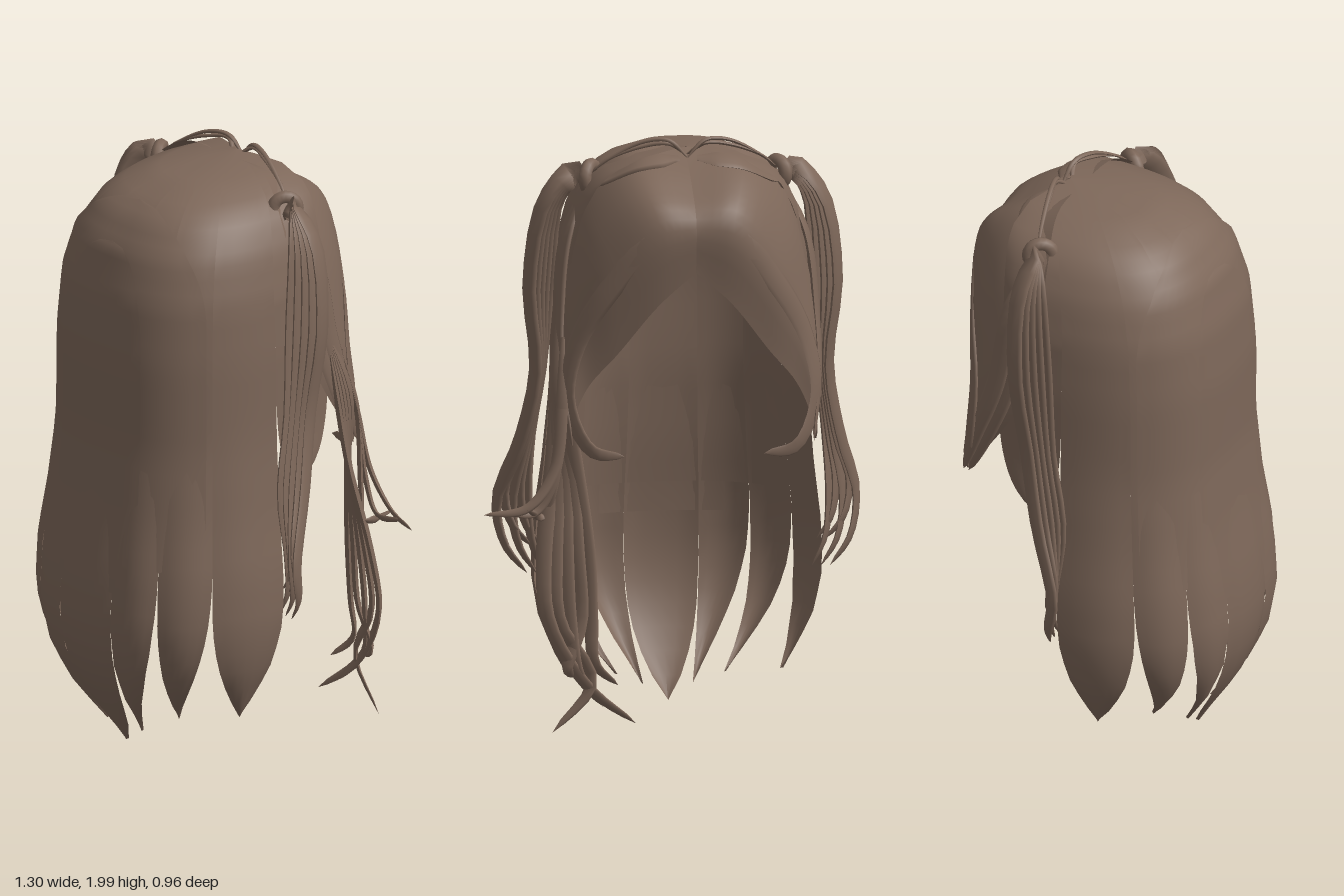
import * as THREE from 'three';

const V = (p) => new THREE.Vector3(...p);
const lerp = THREE.MathUtils.lerp;
const clamp = THREE.MathUtils.clamp;

// Smooth open surface from a rule f(u, v) -> [x, y, z]
function sheet(f, nu, nv) {
  const pos = [], idx = [];
  for (let j = 0; j <= nv; j++)
    for (let i = 0; i <= nu; i++) pos.push(...f(i / nu, j / nv));
  const w = nu + 1;
  for (let j = 0; j < nv; j++)
    for (let i = 0; i < nu; i++) {
      const a = j * w + i;
      idx.push(a, a + w, a + 1, a + 1, a + w, a + w + 1);
    }
  const g = new THREE.BufferGeometry();
  g.setAttribute('position', new THREE.Float32BufferAttribute(pos, 3));
  g.setIndex(idx);
  g.computeVertexNormals();
  return g;
}

// Profile of the long hair: height, half width, rear z, centre z
const PROFILE = [
  [1.96, 0, -0.2, -0.2], [1.945, 0.15, 0.06, -0.19], [1.895, 0.265, 0.2, -0.17],
  [1.85, 0.32, 0.265, -0.15], [1.75, 0.375, 0.335, -0.12], [1.6, 0.41, 0.38, -0.1],
  [1.4, 0.425, 0.4, -0.1], [1.1, 0.43, 0.405, -0.1], [0.85, 0.45, 0.43, -0.1],
  [0.65, 0.475, 0.458, -0.1], [0.48, 0.48, 0.47, -0.1], [0.33, 0.455, 0.45, -0.1],
  [0.2, 0.4, 0.395, -0.1], [0.1, 0.34, 0.33, -0.1], [0.01, 0.28, 0.27, -0.1],
];

function profileAt(y) {
  let i = 0;
  while (i < PROFILE.length - 2 && PROFILE[i + 1][0] > y) i++;
  const a = PROFILE[i], b = PROFILE[i + 1];
  const k = clamp((a[0] - y) / (a[0] - b[0]), 0, 1);
  return [1, 2, 3].map((n) => lerp(a[n], b[n], k));
}

// Point on the shell at an angle from the rear and a height
function shellPoint(deg, y, out = 0) {
  const [w, zb, cz] = profileAt(y);
  const t = THREE.MathUtils.degToRad(deg), s = Math.sin(t), c = Math.cos(t);
  const pw = (v) => Math.sign(v) * Math.abs(v) ** 0.77;
  const depth = zb - cz;
  const d = c >= 0 ? depth : Math.min(0.3, depth * 0.6);
  return [(w + out) * pw(s), y, cz + (d + out) * pw(c)];
}

// One panel of the shell that narrows to a tip below its slit and curls in
function panel(a0, a1, slit, tip, tipU, curl) {
  return sheet((u, v) => {
    const y = v < 0.35
      ? lerp(1.96, 1.6, (v / 0.35) ** 1.6)
      : lerp(1.6, tip, (v - 0.35) / 0.65);
    const k = clamp((slit - y) / (slit - tip), 0, 1);
    const w = 1 - k ** 2.6;
    const uu = (1 - w) * tipU + w * u;
    const bulge = 0.012 * Math.sin(Math.PI * u) * clamp((1.2 - y) * 2, 0, 1);
    return shellPoint(lerp(a0, a1, uu), y, bulge - curl * k ** 4);
  }, 6, 34);
}

// Raised layer with a rounded top, sinking into the shell lower down
function layer(half, top, bottom, raise) {
  return sheet((u, v) => {
    const y = lerp(top, bottom, v ** 1.5);
    const k = clamp((y - top + 0.35) / 0.35, 0, 1);
    const a = (u * 2 - 1) * half * Math.sqrt(1 - k * k);
    return shellPoint(a, y, lerp(raise, 0.002, v));
  }, 16, 26);
}

// Flattened tapered lock along a path; "face" is the way its flat side looks
function lock(points, width, thick, face = null) {
  const curve = new THREE.CatmullRomCurve3(points.map(V));
  const frame = (t) => {
    const p = curve.getPoint(t), tan = curve.getTangent(t);
    const f = face ? V(face) : new THREE.Vector3(p.x, 0, p.z);
    const side = new THREE.Vector3().crossVectors(tan, f).normalize();
    return [p, side, new THREE.Vector3().crossVectors(side, tan).normalize()];
  };
  return sheet((u, t) => {
    const [p, side, nor] = frame(t);
    const taper = Math.min(1, 0.35 + t * 4) * Math.sqrt(Math.max(0, 1 - t ** 2.5));
    const a = u * Math.PI * 2;
    p.addScaledVector(side, Math.cos(a) * width * taper);
    p.addScaledVector(nor, Math.sin(a) * thick * taper);
    return [p.x, p.y, p.z];
  }, 8, 26);
}

export function createModel() {
  const model = new THREE.Group();
  model.name = 'longHair';
  const brown = new THREE.MeshStandardMaterial({ color: 0x7d6759, side: THREE.DoubleSide });
  brown.name = 'brown hair';
  const add = (name, geometry) => {
    const m = new THREE.Mesh(geometry, brown);
    m.name = name;
    m.position.x = -0.045;
    model.add(m);
  };

  // Long rear hair: a middle strand, three wide strands and a short one per side
  add('rearStrand', panel(-10, 10, 0.34, 0.005, 0.5, 0));
  const strands = [
    [10, 31, 0.76, 0.06, 0.05, 0.02], [31, 55, 0.76, 0.11, 0.2, 0.08],
    [55, 83, 0.64, 0.14, 0.55, 0], [83, 113, 1.3, 0.94, 0.15, 0],
  ];
  for (const s of [1, -1])
    for (const [a, b, slit, tip, u, curl] of strands)
      add('sideStrand', panel(a * s, b * s, slit, tip, u, curl));
  add('outerLayer', layer(52, 1.89, 0.7, 0.014));
  add('centreLayer', layer(20, 1.775, 0.6, 0.026));

  // Parted front hair, lofted from the crown to the turned-in edge
  const edges = [
    [[0, 1.95, -0.16], [0.2, 1.945, -0.14], [0.34, 1.82, -0.1], [0.415, 1.55, -0.1], [0.43, 1.3, -0.17], [0.41, 1.05, -0.33]],
    [[0, 1.86, -0.34], [0.17, 1.86, -0.35], [0.32, 1.71, -0.3], [0.41, 1.48, -0.24], [0.43, 1.25, -0.27], [0.41, 1.05, -0.34]],
    [[0, 1.76, -0.465], [0.13, 1.75, -0.472], [0.27, 1.58, -0.42], [0.37, 1.39, -0.355], [0.41, 1.21, -0.345], [0.4, 1.05, -0.355]],
    [[0, 1.59, -0.455], [0.12, 1.48, -0.44], [0.25, 1.31, -0.39], [0.34, 1.2, -0.355], [0.38, 1.12, -0.35], [0.4, 1.05, -0.35]],
  ].map((e) => new THREE.CatmullRomCurve3(e.map(V)));

  for (const s of [1, -1]) {
    const flip = (pts) => pts.map(([x, y, z]) => [x * s, y, z]);
    add('frontHair', sheet((u, v) => {
      const section = new THREE.CatmullRomCurve3(edges.map((e) => e.getPoint(v)));
      const p = section.getPoint(u);
      return [p.x * s, p.y, p.z];
    }, 14, 26));

    // Edge lock around the face, a lock swept to the tie and temple locks
    add('frontEdge', lock(flip([[0, 1.74, -0.462], [0.13, 1.71, -0.465], [0.28, 1.53, -0.41], [0.38, 1.34, -0.35],
      [0.41, 1.15, -0.35], [0.34, 0.99, -0.4], [0.23, 0.97, -0.415]]), 0.04, 0.01));
    add('sweptLock', lock(flip([[0.03, 1.93, -0.24], [0.16, 1.915, -0.25], [0.27, 1.85, -0.19], [0.32, 1.83, -0.13]]), 0.05, 0.012, [0, 1, -0.3]));
    for (let i = 0; i < 2; i++)
      add('templeLock', lock(flip([[0.33, 1.82, -0.14], [0.4, 1.65, -0.17 - i * 0.03], [0.425, 1.4, -0.2 - i * 0.04],
        [0.425, 1.2, -0.27 - i * 0.04], [0.4, 1.0, -0.36 - i * 0.02]]), 0.042, 0.012, [s, 0, -0.25]));

    // Tied tail: a knot and a bundle of ribbons
    const knot = new THREE.TorusGeometry(0.04, 0.022, 8, 20);
    knot.rotateY(s * 1.0);
    knot.translate(s * 0.31, 1.855, -0.14);
    add('hairTie', knot);
    for (let i = 0; i < 5; i++) {
      const k = i - 2, odd = i % 2;
      add('tailRibbon', lock(flip([
        [0.29, 1.81, -0.14], [0.36, 1.88 - i * 0.006, -0.13], [0.46 - i * 0.012, 1.78, -0.115 + k * 0.012],
        [0.51 - i * 0.018, 1.5, -0.09 + k * 0.018], [0.485 - i * 0.006, 1.2, -0.06 + k * 0.018],
        [0.53 - i * 0.01, 0.95, 0.0 + k * 0.016], [0.595 - i * 0.024, 0.73 + odd * 0.05, 0.06 - i * 0.012],
        [0.57 - i * 0.022, 0.59 + odd * 0.07, 0.03 - i * 0.008], [0.5 - i * 0.015, 0.5 + odd * 0.09, 0.0],
      ]), 0.042, 0.014, [s * 0.9, 0, -0.4]));
    }

    // Fine stray hairs over the crown
    for (let i = 0; i < 2; i++)
      add('strayHair', lock(flip([[0.0, 1.93, -0.23 + i * 0.04], [0.06, 1.985 - i * 0.01, -0.22], [0.14, 1.98 - i * 0.015, -0.2],
        [0.25, 1.92, -0.17], [0.31, 1.87, -0.15]]), 0.009, 0.007, [0, 1, 0]));
  }

  // Long face-framing lock on the left side: bend x, tip x, tip y
  const tips = [[0.35, 0.19, 0.07], [0.34, 0.47, 0.05], [0.38, 0.3, 0.13], [0.42, 0.38, 0.24], [0.33, 0.25, 0.2]];
  tips.forEach(([bend, tx, ty], i) => {
    const x = 0.49 - i * 0.035;
    add('longFrontStrand', lock([[0.42, 1.45, -0.22], [0.43, 1.2, -0.26 - i * 0.014], [0.45 - i * 0.015, 0.95, -0.295 - i * 0.012],
      [x, 0.65, -0.355 - i * 0.006], [x - 0.01, 0.42, -0.4], [bend, 0.2 + i * 0.02, -0.42], [tx, ty, -0.39 - (i % 2) * 0.02]],
    0.034, 0.012, [0.6, 0, -0.8]));
  });

  // Wisps flicking outward
  for (let i = 0; i < 3; i++)
    add('wisp', lock([[0.42, 1.35, -0.29], [0.43, 1.12, -0.35], [0.46, 0.92 - i * 0.03, -0.38 + i * 0.02],
      [0.55 - i * 0.03, 0.8 - i * 0.02, -0.39 + i * 0.03], [0.69 - i * 0.07, 0.775 + i * 0.01, -0.36 - i * 0.02]],
    0.022, 0.01, [0.5, 0.3, -0.8]));

  return model;
}
